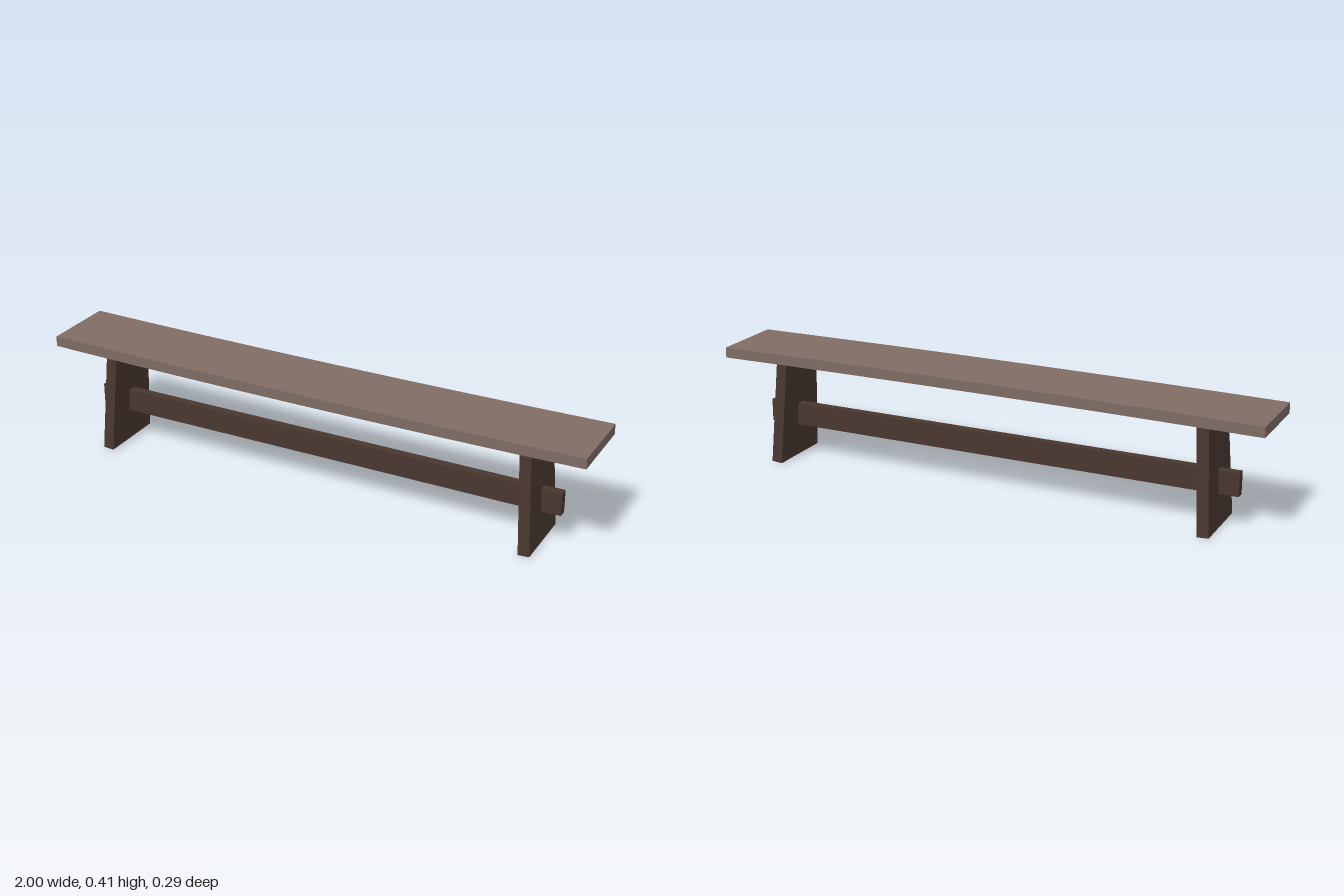
import * as THREE from 'three';

const seatWood = new THREE.MeshStandardMaterial({ color: 0x7f6c65 });
const darkWood = new THREE.MeshStandardMaterial({ color: 0x49372f });

// Box whose vertices are moved by a rule
function shapedBox(name, size, segments, material, rule) {
  const geometry = new THREE.BoxGeometry(...size, segments, 1, 1);
  const p = geometry.attributes.position;
  const v = new THREE.Vector3();
  for (let i = 0; i < p.count; i++) {
    rule(v.fromBufferAttribute(p, i));
    p.setXYZ(i, v.x, v.y, v.z);
  }
  geometry.computeVertexNormals();
  const mesh = new THREE.Mesh(geometry, material);
  mesh.name = name;
  return mesh;
}

export function createModel() {
  const bench = new THREE.Group();
  bench.name = 'bench';
  const axisZ = -0.0085; // centre line of legs and stretcher

  // Plank seat, bowed gently toward the front
  const seat = shapedBox('seat', [2, 0.037, 0.271], 8, seatWood, (v) => {
    v.z += 0.0085 - 0.017 * v.x * v.x + 0.002 * v.x;
  });
  seat.position.y = 0.394;
  bench.add(seat);

  // Tapered, splayed plank legs
  for (const side of [-1, 1]) {
    const leg = shapedBox(side > 0 ? 'leftLeg' : 'rightLeg', [0.04, 0.375, 1], 1, darkWood, (v) => {
      const top = v.y > 0;
      const outer = v.x * side > 0;
      v.z = Math.sign(v.z) * (top ? 0.1 : 0.1225) + axisZ;
      v.x += side * (top ? 0.786 : 0.81);
      v.y = top ? (outer ? 0.377 : 0.374) : (outer ? 0.003 : 0);
    });
    bench.add(leg);
  }

  // Stretcher passing through both legs
  const stretcher = new THREE.Mesh(new THREE.BoxGeometry(1.78, 0.082, 0.031), darkWood);
  stretcher.name = 'stretcher';
  stretcher.position.set(0, 0.159, axisZ);
  bench.add(stretcher);

  return bench;
}
